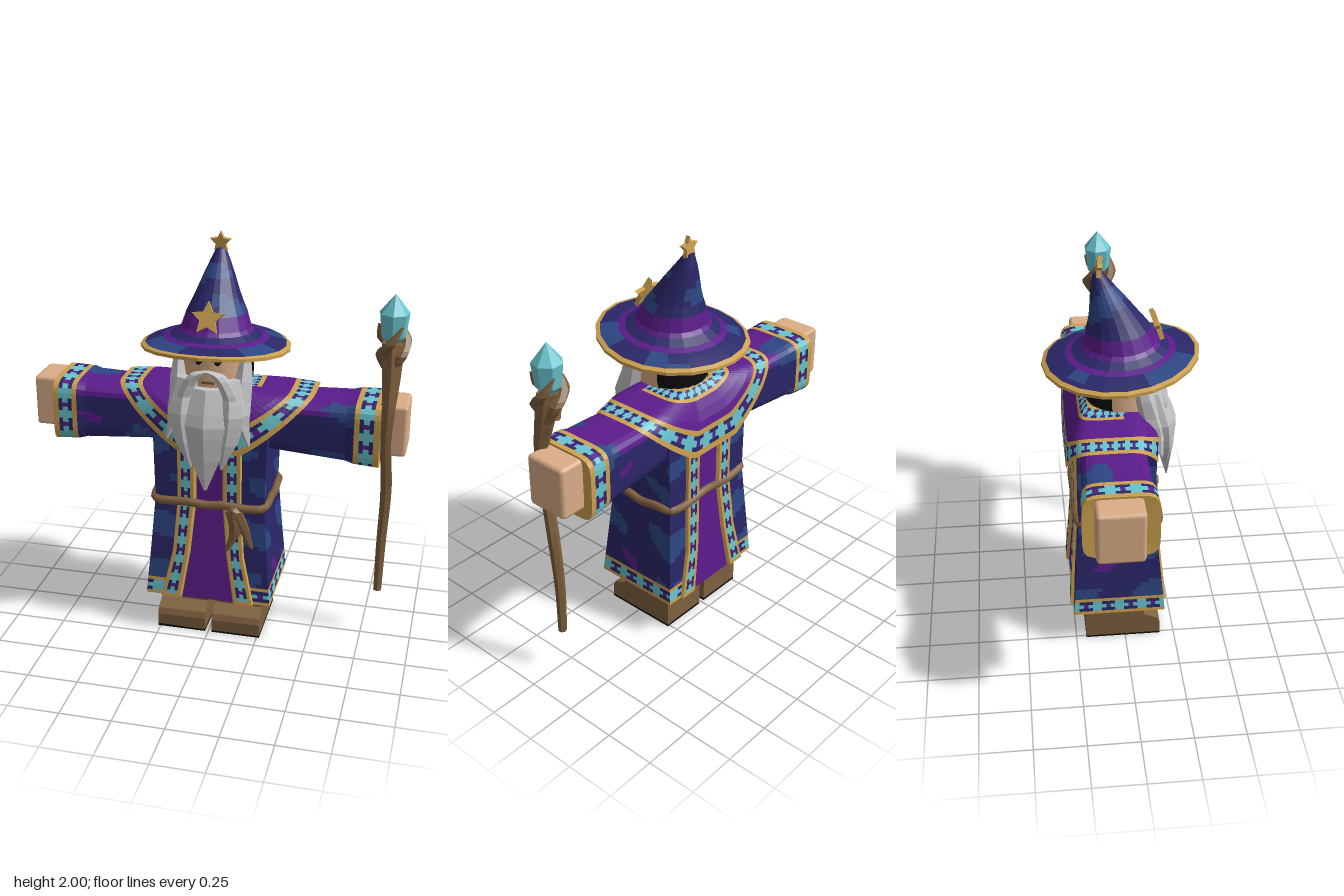
import * as THREE from 'three';
import { RoundedBoxGeometry } from 'three/addons/geometries/RoundedBoxGeometry.js';

const mat = (name, color, side = THREE.FrontSide) => new THREE.MeshStandardMaterial({ name, color, side });
const D = THREE.DoubleSide;
const M = {
  navy: mat('navy cloth', 0x2a2769, D), blue: mat('blue cloth', 0x2d4684, D),
  purple: mat('purple cloth', 0x5c1c8c, D), gold: mat('gold trim', 0xcca04f, D),
  teal: mat('teal crystal', 0x69c4ce, D), skin: mat('skin', 0xdbae88),
  grey: mat('grey beard', 0xc4c4c6), brown: mat('brown leather and wood', 0x7f603e),
  black: mat('black', 0x100f10, D),
};
const V = (x, y, z) => new THREE.Vector3(x, y, z);
const lerp = THREE.MathUtils.lerp;

// piecewise-linear lookup in [[key, value], ...]
function look(table, k) {
  for (let i = 1; i < table.length; i++) {
    const [k0, v0] = table[i - 1], [k1, v1] = table[i];
    if (k <= k1) return lerp(v0, v1, Math.max(0, (k - k0) / (k1 - k0)));
  }
  return table[table.length - 1][1];
}

// faceted surface through rows of points; pick(row, column, centre) gives each cell's material
function grid(name, rows, pick) {
  const buckets = new Map();
  for (let i = 0; i < rows.length - 1; i++) for (let j = 0; j < rows[i].length - 1; j++) {
    const a = rows[i][j], b = rows[i][j + 1], c = rows[i + 1][j + 1], d = rows[i + 1][j];
    const m = pick(i, j, a.clone().add(b).add(c).add(d).multiplyScalar(0.25));
    if (!buckets.has(m)) buckets.set(m, []);
    for (const p of [a, b, c, a, c, d]) buckets.get(m).push(p.x, p.y, p.z);
  }
  const geo = new THREE.BufferGeometry(), all = [], mats = [];
  for (const [m, list] of buckets) {
    geo.addGroup(all.length / 3, list.length / 3, mats.length);
    mats.push(m);
    for (const n of list) all.push(n);
  }
  geo.setAttribute('position', new THREE.Float32BufferAttribute(all, 3));
  geo.computeVertexNormals();
  return named(new THREE.Mesh(geo, mats), name);
}
const named = (o, name) => { o.name = name; return o; };

// rounded-square unit ring, starting at (0, 1) and turning towards (1, 0)
function ring(n, p) {
  return Array.from({ length: n + 1 }, (_, j) => {
    const t = (j % n) / n * Math.PI * 2, s = Math.sin(t), c = Math.cos(t);
    const k = (Math.abs(s) ** p + Math.abs(c) ** p) ** (1 / p);
    return [s / k, c / k];
  });
}

// patchy dyed cloth, plainer between waist and neck, and the dotted trim
function cloth({ x, y, z }) {
  const s = Math.sin(x * 15 + y * 19) + Math.sin(y * 27 - z * 21 + 2) + Math.sin(x * 13 - z * 15 + 1);
  return s > (y > 0.72 && y < 1.3 ? 1.35 : 0.95) ? M.blue : s < -2.4 ? M.purple : M.navy;
}
function dots(along, across) {
  const k = along % 5;
  if (across === 1 ? k < 4 : k === 1 || k === 2) return M.teal;
  return k === 4 && across === 1 ? M.purple : M.navy;
}

// tapered strand with level cross-sections
function strand(name, pts, radii, material, sz = 1, steps = 9, sides = 6) {
  const path = new THREE.CatmullRomCurve3(pts.map(p => V(...p)));
  const rows = [];
  for (let i = 0; i <= steps; i++) {
    const t = i / steps, c = path.getPoint(t), r = look(radii.map((v, k) => [k / (radii.length - 1), v]), t);
    const row = ring(sides, 2).map(([s, q]) => V(c.x + s * r, c.y, c.z + q * r * sz));
    if (i === 0) rows.push(row.map(() => c.clone()));
    rows.push(row);
    if (i === steps) rows.push(row.map(() => c.clone()));
  }
  if (pts[0][1] > pts[pts.length - 1][1]) rows.reverse();
  return grid(name, rows, () => material);
}

function robe() {
  const ys = [0.2, 0.217, 0.235, 0.255, 0.273, 0.29];
  for (let y = 0.31; y < 1.13; y += 0.02) ys.push(y);
  ys.push(1.2);
  const rows = ys.map(y => {
    const w = look([[0.2, 0.315], [0.45, 0.293], [0.72, 0.272], [1.1, 0.28], [1.2, 0.24]], y);
    const zf = look([[0.2, 0.195], [0.72, 0.145], [1.1, 0.145], [1.2, 0.11]], y);
    const zb = look([[0.2, -0.26], [0.72, -0.225], [1.1, -0.225], [1.2, -0.18]], y);
    const a = look([[0.2, 0.14], [0.45, 0.1], [0.72, 0.075]], y), b = look([[0.2, 0.23], [0.45, 0.175], [0.72, 0.155]], y);
    const i0 = a + 0.017, i1 = b - 0.017, o = b + 0.005;
    // half section: sunken panel, raised lapel, cloth
    const half = [[a - 0.01, 0], [a, 1], [i0, 1], [lerp(i0, i1, 0.3), 1], [lerp(i0, i1, 0.7), 1], [i1, 1], [b, 1],
      [o, 0], [lerp(o, w, 1 / 3), 0], [lerp(o, w, 2 / 3), 0], [w, 0]];
    const full = [...half.map(([x, l]) => [-x, l]).reverse(), ...half];
    const row = full.map(([x, l]) => V(x, y, zf + l * 0.016));
    for (let k = 1; k < 20; k++) row.push(V(w, y, lerp(zf, zb, k / 20)));
    for (const [x, l] of full) row.push(V(-x, y, zb - l * 0.014));
    for (let k = 1; k < 20; k++) row.push(V(-w, y, lerp(zb, zf, k / 20)));
    row.push(row[0].clone());
    return row;
  });
  rows.unshift(rows[0].map(() => V(0, 0.225, -0.03)));
  return grid('robe', rows, (i, j, p) => {
    if (i === 0) return M.navy;
    const k = j < 21 ? j : j >= 41 && j < 62 ? j - 41 : -1;
    const m = k < 0 ? 10 : Math.abs(k - 10);
    if (m === 0) return M.purple;
    if (m < 3 || m === 6 || m === 7) return M.gold;
    if (m < 6) return i === 1 ? M.gold : dots(i, m - 3);
    if (i === 1 || i === 5) return M.gold;
    return i < 5 ? dots(j, i - 2) : cloth(p);
  });
}

function sleeve(side) {
  const xs = [0.22, 0.28, 0.32, 0.36, 0.4, 0.44, 0.48, 0.52, 0.56, 0.6, 0.64, 0.68, 0.705, 0.724, 0.753, 0.772, 0.8];
  const cuff = 11, sec = ring(50, 6);
  const rows = xs.map((x, i) => {
    const t = (x - 0.22) / 0.58, g = i >= cuff ? 0.008 : 0;
    const top = lerp(1.235, 1.25, t) + g, low = lerp(0.99, 0.948, t) - g;
    const f = lerp(0.08, 0.09, t) + g, b = lerp(-0.21, -0.235, t) - g;
    return sec.map(([s, c]) => V(side * x, (top + low) / 2 + c * (top - low) / 2, (f + b) / 2 + s * (f - b) / 2));
  });
  rows.push(sec.map(() => V(side * 0.785, 1.1, -0.07)));
  if (side < 0) rows.forEach(r => r.reverse());
  return grid(side > 0 ? 'leftSleeve' : 'rightSleeve', rows, (i, j, p) => {
    if (i === cuff || i >= cuff + 4) return M.gold;
    if (i > cuff) return dots(j, i - cuff - 1);
    return p.y > 1.2 && cloth(p) !== M.blue ? M.purple : cloth(p);
  });
}

// shoulder cape: outer hem up to the neck
function mantle() {
  const fs = [1, 0.93, 0.88, 0.8, 0.75, 0.68, 0.58, 0.45, 0.3, 0.24, 0.19, 0.11, 0.06, 0];
  const rows = fs.map(f => ring(120, 5).map(([s, c]) => {
    const drop = Math.min(0.3, 0.34 * (1 - Math.abs(s) ** 1.5) + 0.02);
    const depth = c > 0 ? 0.188 + 0.072 * (1 - s * s) : 0.19;
    return V((0.11 + 0.37 * f) * s, 1.285 - drop * f ** 1.5, lerp(-0.055, -0.085, f) + lerp(0.1, depth, Math.min(1, f * 1.6)) * c);
  }));
  return grid('shoulderMantle', rows, (i, j, p) => {
    if (i === 0 || i === 4) return M.gold;
    if (i < 4) return dots(j, i - 1);
    if (p.z < 0 && i > 7) return i === 8 || i === 12 ? M.gold : dots(j, i - 9);
    return M.purple;
  });
}

function hat() {
  // radius, height, backward lean, material of the strip above
  const prof = [[0.16, 1.5, 0, 'navy'], [0.335, 1.485, 0, 'gold'], [0.355, 1.49, 0, 'gold'], [0.355, 1.505, 0, 'gold'],
    [0.335, 1.512, 0, 0], [0.31, 1.518, 0, 0], [0.28, 1.525, 0, 0], [0.25, 1.531, 0, 'purple'], [0.22, 1.54, 0, 'navy'],
    [0.18, 1.562, 0, 'purple'], [0.165, 1.58, 0, 'purple'], [0.144, 1.645, -0.01, 0], [0.122, 1.69, -0.022, 0],
    [0.111, 1.715, -0.03, 0], [0.1, 1.74, -0.038, 0], [0.088, 1.77, -0.049, 0], [0.076, 1.8, -0.06, 0],
    [0.063, 1.83, -0.071, 0], [0.05, 1.86, -0.082, 0], [0.022, 1.92, -0.1, 0], [0, 1.925, -0.1, 0]];
  const rows = prof.map(([r, y, z]) => ring(20, 2).map(([s, c]) => {
    const k = (r / 0.355) ** 2;
    return V(r * s, y + k * (0.03 * c - 0.02 * s * s), z + r * c * 1.04);
  }));
  return grid('pointedHat', rows, (i, j, p) => prof[i][3] ? M[prof[i][3]] : cloth(p) === M.blue ? M.blue : M.navy);
}

function star(name, r, x, y, z, tilt) {
  const s = new THREE.Shape(Array.from({ length: 10 }, (_, i) => {
    const q = i % 2 ? r * 0.48 : r, t = i * Math.PI / 5;
    return new THREE.Vector2(Math.sin(t) * q, Math.cos(t) * q);
  }));
  const m = new THREE.Mesh(new THREE.ExtrudeGeometry(s, { depth: 0.022, bevelEnabled: false }).translate(0, 0, -0.011), M.gold);
  m.position.set(x, y, z);
  m.rotation.x = tilt;
  return named(m, name);
}

export function createModel() {
  const g = named(new THREE.Group(), 'wizard');
  const put = (name, geo, m, x = 0, y = 0, z = 0) => {
    const o = named(new THREE.Mesh(geo, m), name);
    o.position.set(x, y, z);
    g.add(o);
    return o;
  };
  const lathe = (pts, ...rest) => new THREE.LatheGeometry(pts.map(p => new THREE.Vector2(...p)), ...rest);
  g.add(robe(), mantle(), hat(), star('hatStar', 0.08, 0, 1.655, 0.168, -0.36), star('tipStar', 0.052, 0, 1.948, -0.095, 0.1));

  // head, hair and face
  put('head', new THREE.CylinderGeometry(0.17, 0.165, 0.28, 24), M.skin, 0, 1.37, 0);
  put('hair', lathe([[0.165, 1.285], [0.179, 1.32], [0.182, 1.4], [0.178, 1.51]], 14, Math.PI * 0.6, Math.PI * 0.8), M.black);
  put('mouth', new THREE.BoxGeometry(0.06, 0.012, 0.008), M.brown, 0, 1.345, 0.17);
  g.add(strand('beardCentre', [[0, 1.32, 0.17], [0, 1.15, 0.215], [0, 0.98, 0.22], [0, 0.82, 0.23]], [0.08, 0.11, 0.08, 0.008], M.grey, 0.5));

  for (const s of [1, -1]) {
    const side = s > 0 ? 'left' : 'right';
    const eye = put(side + 'Eye', new THREE.CylinderGeometry(0.017, 0.017, 0.008, 12).rotateX(Math.PI / 2), M.black, s * 0.045, 1.455, 0.165);
    eye.scale.y = 1.5;
    eye.rotation.y = s * 0.26;
    g.add(
      strand(side + 'BeardLock', [[s * 0.1, 1.36, 0.14], [s * 0.115, 1.2, 0.18], [s * 0.1, 1.06, 0.2], [s * 0.075, 0.93, 0.215]], [0.055, 0.075, 0.055, 0.006], M.grey, 0.8),
      strand(side + 'Sideburn', [[s * 0.16, 1.49, 0.07], [s * 0.155, 1.35, 0.1], [s * 0.15, 1.2, 0.14], [s * 0.2, 1.05, 0.18]], [0.02, 0.045, 0.055, 0.005], M.grey),
      strand(side + 'Moustache', [[0, 1.405, 0.18], [s * 0.05, 1.39, 0.185], [s * 0.105, 1.3, 0.185], [s * 0.13, 1.17, 0.21]], [0.022, 0.034, 0.038, 0.005], M.grey, 0.8),
      sleeve(s));
    put(side + 'Hand', new RoundedBoxGeometry(0.17, 0.255, 0.215, 1, 0.018), M.skin, s * 0.835, 1.12, -0.082);

    // boots
    const boot = new THREE.Shape([[0.2, 0.01], [0.2, 0.26], [-0.1, 0.26], [-0.095, 0.13], [-0.165, 0.1], [-0.178, 0.07], [-0.178, 0.01]]
      .map(p => new THREE.Vector2(...p)));
    put(side + 'Boot', new THREE.ExtrudeGeometry(boot, { depth: 0.245, bevelEnabled: false })
      .translate(0, 0, -0.1225).rotateY(Math.PI / 2), M.brown, s * 0.14, 0, 0);
    put(side + 'Sole', new THREE.BoxGeometry(0.245, 0.012, 0.378), M.black, s * 0.14, 0.006, -0.011);
  }

  // rope belt with knot and tails
  const loop = ring(32, 10).slice(0, 32).map(([s, c], j) => V(s * 0.284, 0.722 + 0.008 * Math.sin(j * 1.3) - (c > 0 ? 0.012 * (1 - s * s) : 0), -0.032 + c * 0.2));
  put('belt', new THREE.TubeGeometry(new THREE.CatmullRomCurve3(loop, true), 64, 0.021, 6, true), M.brown);
  put('beltKnot', new THREE.IcosahedronGeometry(0.042, 0), M.brown, 0.13, 0.69, 0.175);
  g.add(strand('beltTail', [[0.12, 0.7, 0.185], [0.14, 0.6, 0.187], [0.1, 0.49, 0.195]], [0.035, 0.034, 0.012], M.brown, 0.6),
    strand('beltTail', [[0.14, 0.7, 0.185], [0.175, 0.62, 0.183], [0.22, 0.51, 0.186]], [0.035, 0.032, 0.01], M.brown, 0.6));

  // staff, clawed head and crystal
  g.add(strand('staffShaft', [[0.822, 0.24, -0.03], [0.826, 0.5, -0.035], [0.836, 0.8, -0.02], [0.825, 1.05, 0.025],
    [0.828, 1.22, 0.03], [0.83, 1.4, -0.01], [0.825, 1.54, -0.035]], [0.022, 0.026, 0.03, 0.028, 0.034, 0.05, 0.055], M.brown, 0.9, 20));
  for (let k = 0; k < 3; k++) {
    const at = (r, y, turn) => [0.825 + r * Math.sin(k * Math.PI / 1.5 + turn), y, -0.035 + r * Math.cos(k * Math.PI / 1.5 + turn)];
    g.add(strand('staffClaw', [at(0.025, 1.4, 0), at(0.05, 1.49, 1), at(0.064, 1.55, 2), at(0.068, 1.63, 2.8)], [0.022, 0.034, 0.028, 0.006], M.brown));
  }
  const gem = lathe([[0, 1.5], [0.058, 1.57], [0.071, 1.68], [0, 1.77]], 7).toNonIndexed();
  gem.computeVertexNormals();
  put('crystal', gem, M.teal, 0.825, 0, -0.038);
  return g;
}
